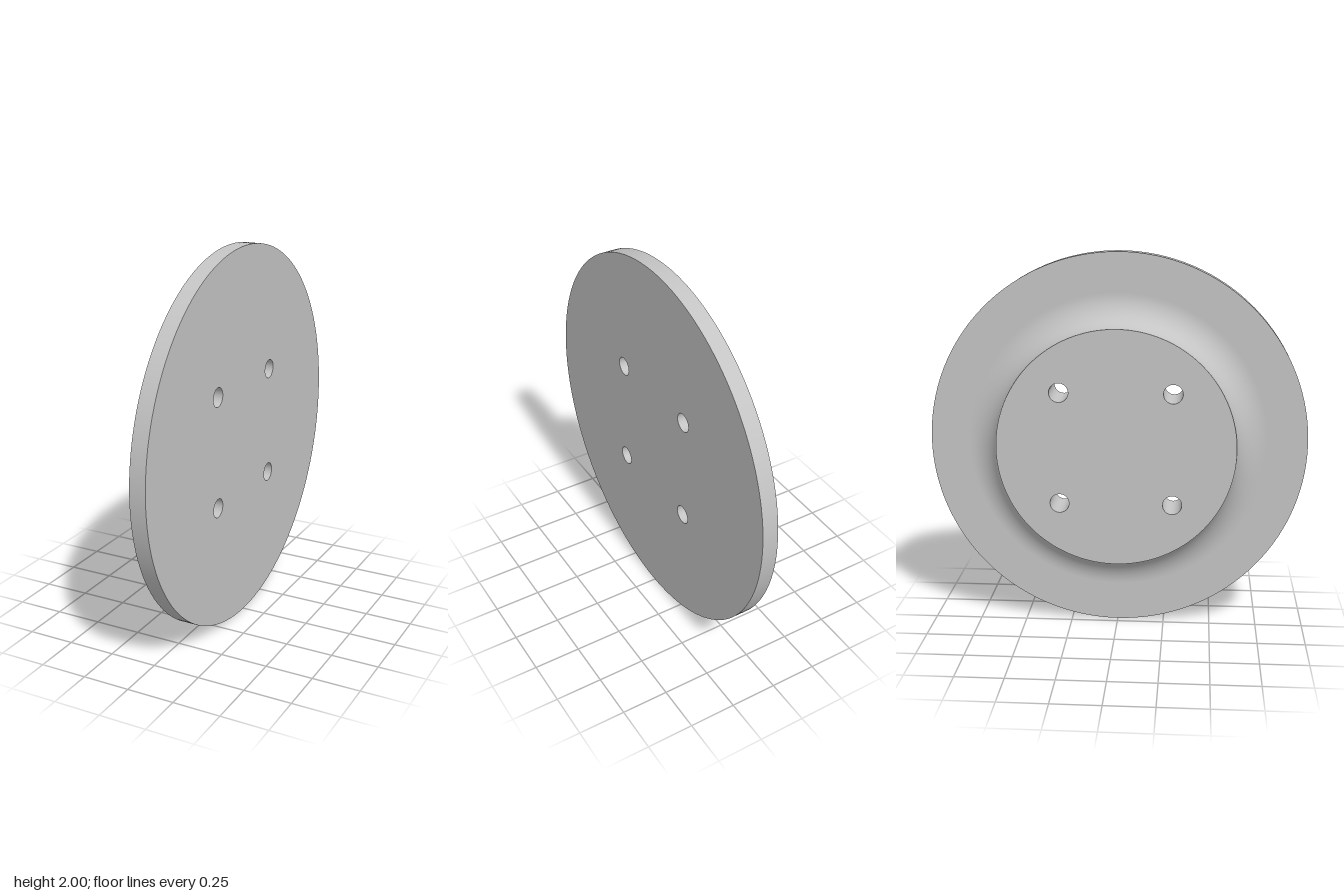
import * as THREE from 'three';

const BACK = -0.125, STEP = 0.04, FRONT = 0.125; // positions along the x axis
const HUB_R = 0.625, DISC_R = 1, FILLET_R = STEP - BACK;
const HOLE_R = 0.05, HOLE_OFFSET = 0.295;
const SEGMENTS = 128;

export function createModel() {
  const metal = new THREE.MeshStandardMaterial({ color: 0xc4c4c4 });
  metal.name = 'light grey';

  const group = new THREE.Group();
  group.name = 'flange';
  group.position.y = 1;

  const add = (name, geometry) => {
    const mesh = new THREE.Mesh(geometry, metal);
    mesh.name = name;
    group.add(mesh);
    return mesh;
  };

  // Revolve [radius, x] points around the x axis
  const revolve = (points, segments) =>
    new THREE.LatheGeometry(points.map(([r, x]) => new THREE.Vector2(r, x)), segments)
      .rotateZ(-Math.PI / 2);

  const holes = [];
  for (const a of [-1, 1]) for (const b of [-1, 1]) holes.push([a * HOLE_OFFSET, b * HOLE_OFFSET]);

  // Flat round face pierced by the four bolt holes, facing +x or -x
  const face = (radius, x, side) => {
    const shape = new THREE.Shape().absarc(0, 0, radius, 0, Math.PI * 2);
    for (const [u, v] of holes) {
      shape.holes.push(new THREE.Path().absarc(u, v, HOLE_R, 0, Math.PI * 2, true));
    }
    return new THREE.ShapeGeometry(shape, SEGMENTS / 2)
      .rotateY(side * Math.PI / 2)
      .translate(x, 0, 0);
  };

  add('discFace', face(DISC_R, FRONT, 1));
  add('hubFace', face(HUB_R, BACK, -1));

  // Concave fillet from the hub to the back of the disc
  const back = [];
  for (let i = 0; i <= 24; i++) {
    const t = (i / 24) * Math.PI / 2;
    back.push([HUB_R + FILLET_R * (1 - Math.cos(t)), BACK + FILLET_R * Math.sin(t)]);
  }
  add('hubFillet', revolve(back, SEGMENTS));
  add('discBack', revolve([[HUB_R + FILLET_R, STEP], [DISC_R, STEP]], SEGMENTS));
  add('discRim', revolve([[DISC_R, STEP], [DISC_R, FRONT]], SEGMENTS));

  // Bolt hole walls, facing inward
  const wall = revolve([[HOLE_R, FRONT], [HOLE_R, BACK]], SEGMENTS);
  for (const [y, z] of holes) add('boltHole', wall).position.set(0, y, z);

  return group;
}
